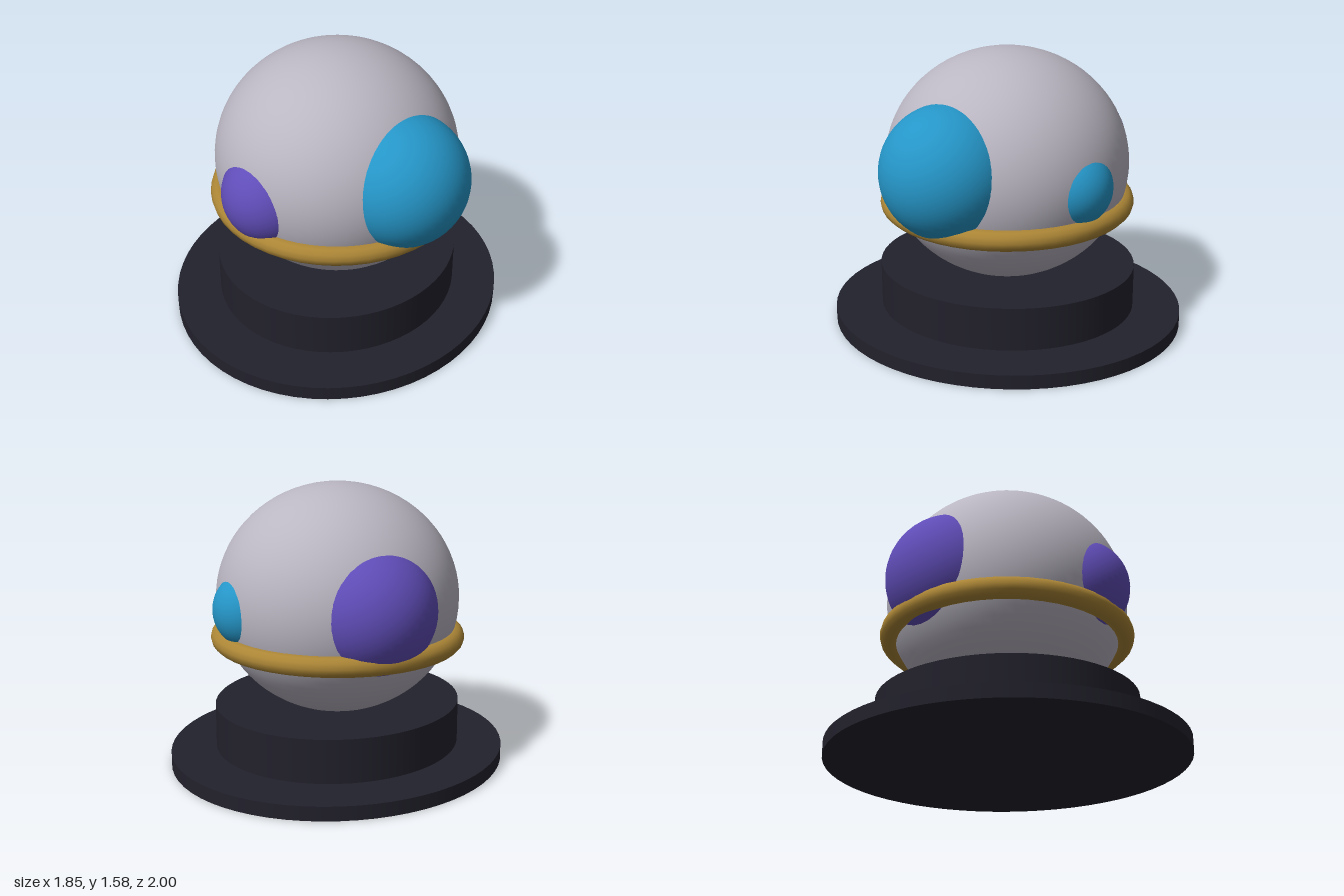
import * as THREE from 'three';

const paint = (name, color) => {
  const m = new THREE.MeshStandardMaterial({ color });
  m.name = name;
  return m;
};

export function createModel() {
  const model = new THREE.Group();
  model.name = 'domedOrnament';

  const dark = paint('charcoal', 0x22212c);
  const grey = paint('paleGrey', 0xbab6c2);
  const gold = paint('gold', 0xac8636);
  const blue = paint('blue', 0x2596c8);
  const purple = paint('purple', 0x604db8);

  const add = (name, geometry, material, x, y, z) => {
    const mesh = new THREE.Mesh(geometry, material);
    mesh.name = name;
    mesh.position.set(x, y, z);
    model.add(mesh);
    return mesh;
  };

  // Oval foot and pedestal, separated by a narrow gap
  const disc = (name, rx, rz, y0, y1) =>
    add(name, new THREE.CylinderGeometry(1, 1, y1 - y0, 64), dark, 0, (y0 + y1) / 2, 0)
      .scale.set(rx, 1, rz);
  disc('foot', 0.925, 1, 0, 0.08);
  disc('pedestal', 0.677, 0.73, 0.095, 0.34);

  // Slightly flattened globe
  add('globe', new THREE.SphereGeometry(1, 64, 40), grey, 0, 0.936, 0)
    .scale.set(0.68, 0.644, 0.682);

  // Band around the globe
  const band = new THREE.TorusGeometry(0.657, 0.058, 12, 48).rotateX(Math.PI / 2);
  add('band', band, gold, 0, 0.718, 0);

  // Round bumps bulging out of the globe
  const bumps = [
    ['largeBlueBump', blue, 0.37, 0.46, 1.0, 0.19],
    ['smallBlueBump', blue, 0.216, 0.272, 0.92, -0.448],
    ['frontPurpleBump', purple, 0.265, -0.188, 0.9, 0.462],
    ['rearPurpleBump', purple, 0.365, -0.343, 0.95, -0.235],
  ];
  for (const [name, material, r, x, y, z] of bumps) {
    add(name, new THREE.SphereGeometry(r, 48, 32), material, x, y, z);
  }

  return model;
}
